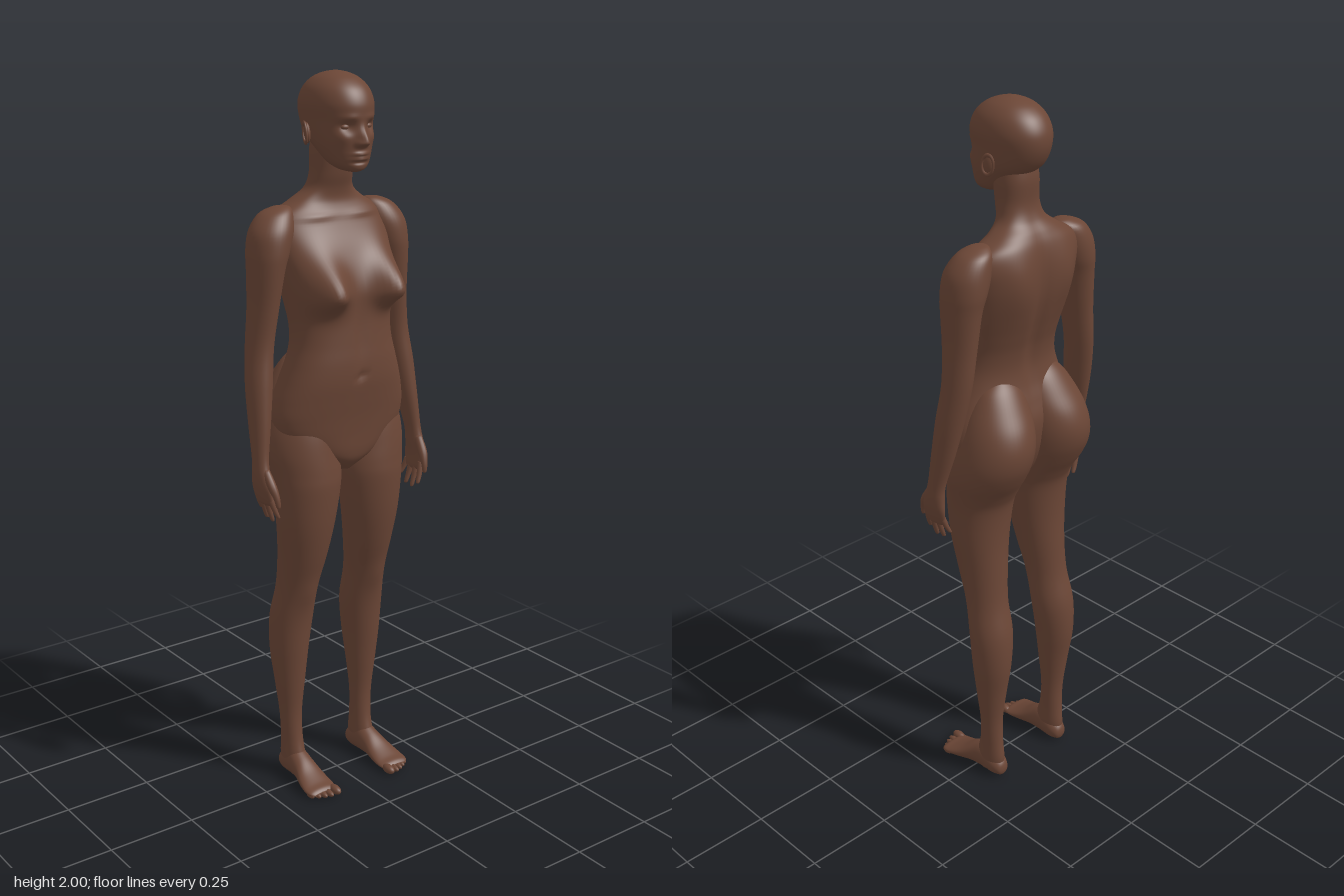
import * as THREE from 'three';

const skin = new THREE.MeshStandardMaterial({ color: 0x6b4636 });
skin.name = 'brown skin';

// Catmull-Rom blend of four section rows
const blend = (a, b, c, d, t) => b.map((v, k) => v + 0.5 * t * (c[k] - a[k]
  + t * (2 * a[k] - 5 * v + 4 * c[k] - d[k] + t * (3 * (v - c[k]) + d[k] - a[k]))));

// Smooth skin through elliptical sections [y, x, halfWidth, zFront, zBack], bottom to top.
// Bumps [x, y, facing, widthX, heightUp, heightDown, push] swell (or dent) front (+1) or back (-1).
function loft(name, sections, { side = 1, segs = 32, steps = 5, power = 1, bumps = [] } = {}) {
  const rows = [];
  const n = sections.length;
  const at = (i) => sections[Math.min(n - 1, Math.max(0, i))];
  for (let i = 0; i < n - 1; i++) {
    for (let k = 0; k < steps; k++) rows.push(blend(at(i - 1), at(i), at(i + 1), at(i + 2), k / steps));
  }
  rows.push(at(n - 1));
  const pos = [], index = [];
  const bend = (v) => Math.sign(v) * Math.abs(v) ** power;
  for (const [y, cx, w, zf, zb] of rows) {
    for (let j = 0; j < segs; j++) {
      const a = (j / segs) * Math.PI * 2, s = Math.sin(a);
      const x = cx * side + Math.max(w, 0.0005) * bend(Math.cos(a));
      let z = (zf + zb) / 2 + ((zf - zb) / 2) * bend(s);
      for (const [bx, by, face, sx, up, down, push] of bumps) {
        const gate = THREE.MathUtils.smoothstep(s * face, 0, 0.45);
        const dy = (y - by) / (y > by ? up : down), dx = (x - bx) / sx;
        z += face * push * gate * Math.exp(-dx * dx - dy * dy);
      }
      pos.push(x, y, z);
    }
  }
  const last = rows.length - 1;
  for (let i = 0; i < last; i++) {
    for (let j = 0; j < segs; j++) {
      const a = i * segs + j, b = i * segs + (j + 1) % segs;
      index.push(a, a + segs, b, a + segs, b + segs, b);
    }
  }
  // end caps
  for (const r of [0, last]) {
    const [y, cx, , zf, zb] = rows[r];
    const c = pos.length / 3;
    pos.push(cx * side, y, (zf + zb) / 2);
    for (let j = 0; j < segs; j++) {
      const a = r * segs + j, b = r * segs + (j + 1) % segs;
      if (r === 0) index.push(c, a, b); else index.push(c, b, a);
    }
  }
  const geo = new THREE.BufferGeometry();
  geo.setAttribute('position', new THREE.Float32BufferAttribute(pos, 3));
  geo.setIndex(index);
  geo.computeVertexNormals();
  const mesh = new THREE.Mesh(geo, skin);
  mesh.name = name;
  return mesh;
}

function ellipsoid(name, x, y, z, rx, ry, rz) {
  const mesh = new THREE.Mesh(new THREE.SphereGeometry(1, 20, 14), skin);
  mesh.name = name;
  mesh.position.set(x, y, z);
  mesh.scale.set(rx, ry, rz);
  return mesh;
}

// The same bump on both sides
const pair = (x, ...rest) => [[x, ...rest], [-x, ...rest]];

function makeTorso() {
  return loft('torso', [
    [0.94, 0, 0.02, 0.05, -0.03], [0.97, 0, 0.07, 0.078, -0.06], [1.0, 0, 0.13, 0.088, -0.08],
    [1.05, 0, 0.19, 0.093, -0.1], [1.1, 0, 0.206, 0.099, -0.11], [1.15, 0, 0.199, 0.107, -0.112],
    [1.2, 0, 0.182, 0.114, -0.1], [1.25, 0, 0.164, 0.115, -0.086], [1.3, 0, 0.15, 0.111, -0.08],
    [1.35, 0, 0.147, 0.107, -0.086], [1.4, 0, 0.153, 0.103, -0.1], [1.45, 0, 0.161, 0.097, -0.114],
    [1.5, 0, 0.168, 0.083, -0.124], [1.55, 0, 0.175, 0.062, -0.128], [1.6, 0, 0.177, 0.036, -0.127],
    [1.64, 0, 0.158, 0.017, -0.12], [1.67, 0, 0.108, 0.006, -0.107], [1.7, 0, 0.07, 0.008, -0.087],
    [1.74, 0, 0.059, 0.02, -0.076], [1.8, 0, 0.058, 0.03, -0.078], [1.85, 0, 0.05, 0.03, -0.07],
  ], {
    segs: 80, steps: 6, power: 0.87, bumps: [
      ...pair(0.102, 1.44, 1, 0.053, 0.082, 0.042, 0.079),   // chest
      ...pair(0.085, 1.55, -1, 0.05, 0.08, 0.09, 0.014),     // shoulder blades
      ...pair(0.075, 1.632, 1, 0.055, 0.009, 0.009, 0.005),  // collar bones
      [0, 1.4, -1, 0.02, 0.2, 0.16, -0.013],                 // spine groove
      [0, 1.33, 1, 0.014, 0.08, 0.1, -0.005],                // belly groove
      [0, 1.215, 1, 0.009, 0.011, 0.011, -0.009],            // navel
    ],
  });
}

function makeHead() {
  const head = new THREE.Group();
  head.name = 'head';
  head.add(loft('skull', [
    [1.75, 0, 0.012, 0.085, 0.05], [1.757, 0, 0.033, 0.099, 0.02], [1.775, 0, 0.053, 0.104, -0.015],
    [1.81, 0, 0.069, 0.107, -0.06], [1.84, 0, 0.077, 0.109, -0.098], [1.88, 0, 0.082, 0.109, -0.119],
    [1.92, 0, 0.086, 0.109, -0.121], [1.955, 0, 0.077, 0.093, -0.105], [1.98, 0, 0.057, 0.064, -0.077],
    [1.994, 0, 0.031, 0.03, -0.043], [2.0, 0, 0.001, -0.005, -0.008],
  ], {
    segs: 112, steps: 9, power: 0.95, bumps: [
      [0, 1.825, 1, 0.013, 0.03, 0.009, 0.024],              // nose
      ...pair(0.014, 1.824, 1, 0.007, 0.008, 0.007, 0.008),  // nostrils
      ...pair(0.035, 1.866, 1, 0.018, 0.012, 0.016, -0.014), // eye sockets
      ...pair(0.035, 1.888, 1, 0.024, 0.009, 0.007, 0.004),  // brows
      ...pair(0.05, 1.838, 1, 0.016, 0.016, 0.018, 0.005),   // cheeks
      [0, 1.797, 1, 0.022, 0.005, 0.004, 0.009],             // upper lip
      [0, 1.785, 1, 0.02, 0.004, 0.005, 0.008],              // lower lip
      [0, 1.775, 1, 0.024, 0.006, 0.004, -0.005],            // chin crease
    ],
  }));
  for (const s of [1, -1]) {
    head.add(ellipsoid('eye', s * 0.035, 1.865, 0.081, 0.014, 0.008, 0.01));
    const ear = new THREE.Group();
    ear.name = 'ear';
    ear.add(ellipsoid('earShell', 0, 0, 0, 0.008, 0.026, 0.015));
    const rim = new THREE.Mesh(new THREE.TorusGeometry(0.016, 0.0035, 8, 28), skin);
    rim.name = 'earRim';
    rim.rotation.y = Math.PI / 2;
    rim.scale.y = 1.6;
    rim.position.x = s * 0.006;
    ear.add(rim);
    ear.position.set(s * 0.085, 1.846, -0.014);
    ear.rotation.set(-0.15, s * 0.35, 0);
    head.add(ear);
  }
  return head;
}

function makeArm(side) {
  const arm = new THREE.Group();
  arm.name = side > 0 ? 'leftArm' : 'rightArm';
  arm.add(loft('armAndPalm', [
    [0.885, 0.255, 0.007, 0.048, -0.005], [0.895, 0.257, 0.012, 0.059, -0.014],
    [0.93, 0.262, 0.016, 0.06, -0.02], [0.965, 0.262, 0.019, 0.05, -0.018], [1.01, 0.259, 0.02, 0.037, -0.02],
    [1.1, 0.249, 0.027, 0.029, -0.045], [1.2, 0.238, 0.034, 0.018, -0.068], [1.3, 0.225, 0.035, 0.007, -0.085],
    [1.4, 0.213, 0.038, 0.014, -0.091], [1.5, 0.204, 0.046, 0.025, -0.098], [1.55, 0.195, 0.055, 0.028, -0.104],
    [1.6, 0.182, 0.06, 0.022, -0.102], [1.64, 0.165, 0.048, 0.002, -0.092], [1.658, 0.15, 0.026, -0.02, -0.07],
    [1.662, 0.145, 0.004, -0.04, -0.05],
  ], { side, segs: 36 }));
  // fingers: [z at knuckle, z at tip, tip height]
  [[0.05, 0.062, 0.85], [0.031, 0.035, 0.834], [0.012, 0.008, 0.838], [-0.007, -0.017, 0.86]]
    .forEach(([zk, zt, y], i) => {
      const row = (t, x, r) => {
        const z = THREE.MathUtils.lerp(zt, zk, t);
        return [THREE.MathUtils.lerp(y, 0.91, t), x, r, z + r, z - r];
      };
      arm.add(loft('finger' + (i + 1), [row(0, 0.239, 0.001), row(0.06, 0.24, 0.0055),
        row(0.4, 0.248, 0.0075), row(0.8, 0.255, 0.009), row(1, 0.258, 0.009)], { side, segs: 14 }));
    });
  arm.add(loft('thumb', [
    [0.884, 0.25, 0.001, 0.079, 0.077], [0.889, 0.25, 0.006, 0.084, 0.072], [0.912, 0.252, 0.009, 0.083, 0.064],
    [0.945, 0.257, 0.013, 0.072, 0.04], [0.985, 0.26, 0.011, 0.045, 0.015],
  ], { side, segs: 16 }));
  return arm;
}

function makeLeg(side) {
  const leg = new THREE.Group();
  leg.name = side > 0 ? 'leftLeg' : 'rightLeg';
  leg.add(loft('thighAndCalf', [
    [0.02, 0.123, 0.028, 0.0, -0.09], [0.06, 0.123, 0.03, 0.0, -0.096], [0.12, 0.124, 0.029, -0.016, -0.09],
    [0.2, 0.126, 0.032, -0.021, -0.089], [0.3, 0.127, 0.043, -0.011, -0.102], [0.4, 0.127, 0.054, 0.0, -0.117],
    [0.5, 0.123, 0.061, 0.011, -0.115], [0.6, 0.118, 0.058, 0.032, -0.092], [0.7, 0.113, 0.067, 0.064, -0.083],
    [0.8, 0.11, 0.081, 0.086, -0.079], [0.9, 0.106, 0.093, 0.096, -0.086], [0.95, 0.106, 0.1, 0.094, -0.106],
    [1.0, 0.11, 0.106, 0.088, -0.137], [1.05, 0.109, 0.108, 0.08, -0.16], [1.1, 0.104, 0.105, 0.068, -0.166],
    [1.15, 0.097, 0.098, 0.052, -0.153], [1.2, 0.088, 0.085, 0.03, -0.124], [1.25, 0.08, 0.06, 0.0, -0.09],
    [1.28, 0.078, 0.02, -0.03, -0.06],
  ], { side, segs: 48, bumps: [[side * 0.118, 0.59, 1, 0.03, 0.04, 0.04, 0.005]] }));
  // foot is lofted from heel to toe, then laid flat
  const foot = loft('foot', [
    [-0.103, 0.122, 0.006, -0.022, -0.034], [-0.096, 0.122, 0.02, -0.008, -0.052],
    [-0.07, 0.122, 0.03, -0.002, -0.075], [-0.03, 0.123, 0.032, -0.002, -0.09],
    [0.01, 0.125, 0.035, -0.003, -0.074], [0.05, 0.128, 0.043, -0.002, -0.048],
    [0.085, 0.13, 0.047, -0.002, -0.031], [0.108, 0.13, 0.044, -0.003, -0.024], [0.118, 0.129, 0.034, -0.006, -0.016],
  ], { side, segs: 36 });
  foot.geometry.rotateX(Math.PI / 2);
  leg.add(foot);
  // toes, big to small
  [[0.097, 0.122, 0.013, 0.024], [0.118, 0.12, 0.009, 0.022], [0.135, 0.115, 0.0085, 0.021],
    [0.151, 0.108, 0.008, 0.019], [0.166, 0.099, 0.008, 0.017]].forEach(([x, z, r, l], i) => {
    leg.add(ellipsoid('toe' + (i + 1), side * x, r, z, r, r, l));
  });
  return leg;
}

export function createModel() {
  const figure = new THREE.Group();
  figure.name = 'figure';
  figure.add(makeTorso(), makeHead());
  for (const side of [1, -1]) figure.add(makeArm(side), makeLeg(side));
  return figure;
}
